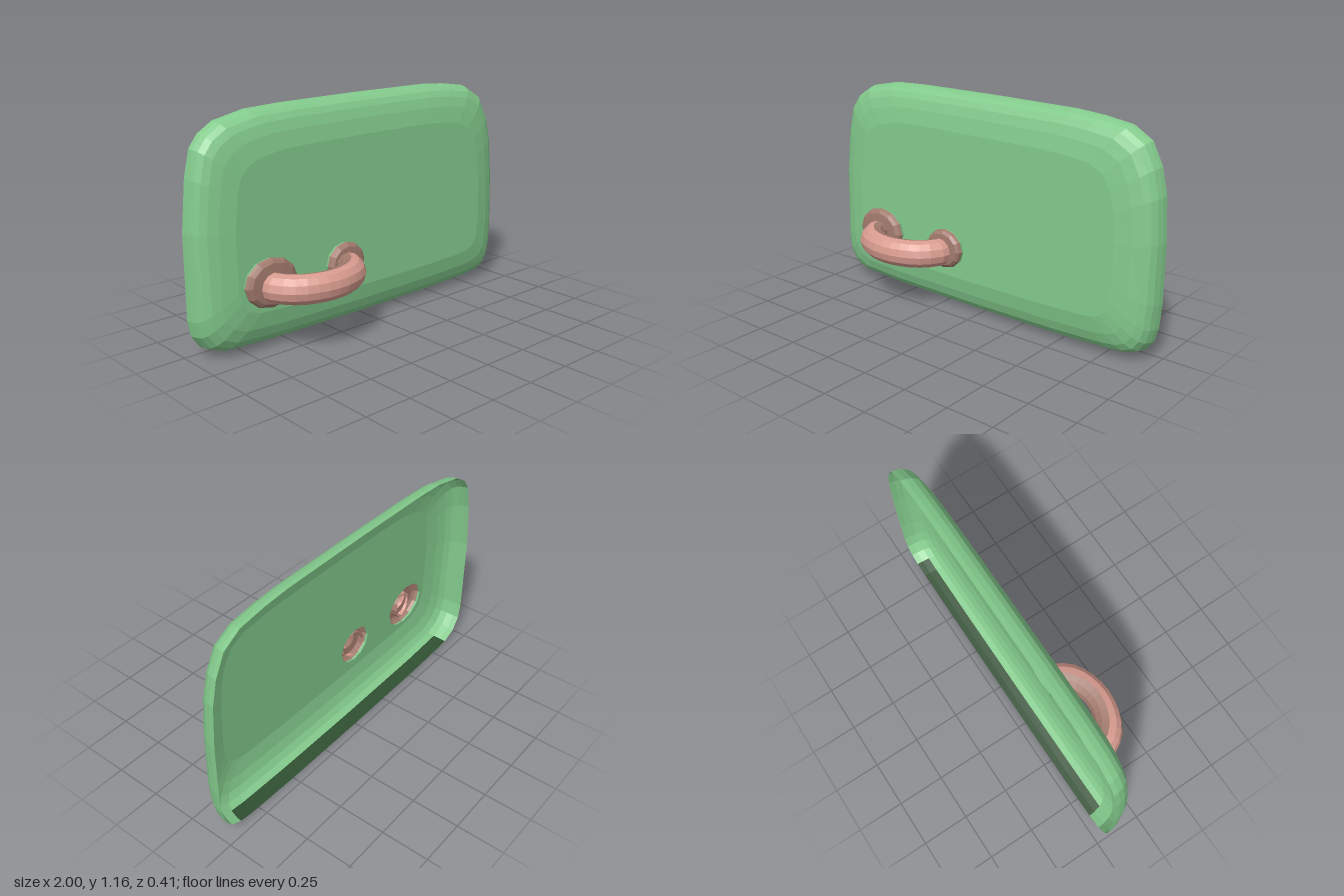
import * as THREE from 'three';

function makeMaterial(name, color) {
  const m = new THREE.MeshStandardMaterial({ color, flatShading: true, side: THREE.DoubleSide });
  m.name = name;
  return m;
}
const green = makeMaterial('panel green', 0x83ca8c);
const darkGreen = makeMaterial('underside dark green', 0x2f4f30);
const pink = makeMaterial('handle pink', 0xd99c90);
const brown = makeMaterial('foot brown', 0xa27a6d);

const MID = 0.578; // half the panel height
const HANDLE_Y = 0.33;
const LEAN = 0.03; // the front face leans back slightly towards the top
const FOOT_SIDES = 12;

// Rounded panel outline, counterclockwise seen from the front
const outline = [
  [0, 0], [0.5, 0.004], [0.8, 0.015], [0.88, 0.026], [0.935, 0.05], [0.972, 0.1], [0.99, 0.17], [1, 0.3],
  [1, 0.6], [0.985, 0.82], [0.955, 0.95], [0.9, 1.06], [0.8, 1.12], [0.65, 1.142], [0.5, 1.153], [0, 1.156],
  [-0.45, 1.153], [-0.65, 1.145], [-0.82, 1.11], [-0.9, 1.06], [-0.945, 1], [-0.975, 0.87],
  [-1, 0.62], [-1, 0.2], [-0.985, 0.12], [-0.94, 0.055], [-0.86, 0.02], [-0.6, 0.006],
];

const faceZ = (y) => -0.05 - LEAN * (y - 0.2);

function inset([x, y], d) {
  return [x * (1 - d), MID + (y - MID) * (1 - d / MID)];
}

// Feet of the handle: centre and radii
const feet = [
  { name: 'outerFoot', x: -0.64, y: 0.345, rx: 0.15, ry: 0.123 },
  { name: 'innerFoot', x: -0.185, y: 0.343, rx: 0.115, ry: 0.105 },
];

// Curved border of the panel, from the open back rim to the front face;
// the rear part of its underside is dark
function borderGeometry() {
  const profile = [[0, 1], [0.003, 0.8], [0.012, 0.56], [0.03, 0.36], [0.06, 0.22], [0.11, 0.1], [0.19, 0]];
  const g = new THREE.BufferGeometry();
  const positions = [], indices = [], n = outline.length;
  for (const [d, back] of profile) {
    for (const p of outline) {
      const [x, y] = inset(p, d);
      positions.push(x, y, THREE.MathUtils.lerp(faceZ(y), -0.205, back));
    }
  }
  for (let i = 0; i < profile.length - 1; i++) {
    for (let j = 0; j < n; j++) {
      const k = (j + 1) % n;
      const a = i * n + j, b = i * n + k, c = b + n, d = a + n;
      const underside = i < 2 && Math.max(outline[j][1], outline[k][1]) < 0.03;
      g.addGroup(indices.length, 6, underside ? 1 : 0);
      indices.push(a, b, c, a, c, d);
    }
  }
  g.setAttribute('position', new THREE.Float32BufferAttribute(positions, 3));
  g.setIndex(indices);
  g.computeVertexNormals();
  return g;
}

// Flat front sheet with an opening behind each foot
function faceGeometry() {
  const shape = new THREE.Shape(outline.map((p) => new THREE.Vector2(...inset(p, 0.19))));
  for (const f of feet) {
    const hole = new THREE.Path();
    hole.absellipse(f.x, f.y, f.rx * 0.97, f.ry * 0.97, 0, Math.PI * 2, true);
    shape.holes.push(hole);
  }
  const g = new THREE.ShapeGeometry(shape, FOOT_SIDES / 2);
  const p = g.attributes.position;
  for (let i = 0; i < p.count; i++) p.setZ(i, faceZ(p.getY(i)));
  g.computeVertexNormals();
  return g;
}

// Hollow bow: pink on the outside of the bend, brown on the inside
function bowGeometry() {
  const path = new THREE.CatmullRomCurve3([
    [-0.645, -0.035], [-0.635, 0.02], [-0.575, 0.09], [-0.49, 0.13], [-0.42, 0.14],
    [-0.35, 0.13], [-0.265, 0.09], [-0.205, 0.02], [-0.195, -0.035],
  ].map(([x, z]) => new THREE.Vector3(x, 0, z)));
  const along = 14, around = 12;
  const g = new THREE.TubeGeometry(path, along, 0.073, around, false);
  const p = g.attributes.position, index = g.index;
  for (let q = 0; q < index.count; q += 6) {
    const step = Math.floor(q / 6 / around) + 0.5;
    const centre = path.getPointAt(step / along), tangent = path.getTangentAt(step / along);
    // Opposite corners of the face give its middle
    const a = index.getX(q), c = index.getX(q + 4);
    const dx = (p.getX(a) + p.getX(c)) / 2 - centre.x;
    const dz = (p.getZ(a) + p.getZ(c)) / 2 - centre.z;
    const outward = dz * tangent.x - dx * tangent.z;
    g.addGroup(q, 6, outward > -0.005 ? 0 : 1);
  }
  // Slightly thinner at the middle
  for (let i = 0; i < p.count; i++) {
    const z = p.getZ(i);
    if (z > 0.14) p.setZ(i, 0.14 + (z - 0.14) * 0.87);
  }
  g.computeVertexNormals();
  return g;
}

function addMesh(parent, name, geometry, material) {
  const mesh = new THREE.Mesh(geometry, material);
  mesh.name = name;
  parent.add(mesh);
  return mesh;
}

function lathe(points) {
  return new THREE.LatheGeometry(points.map(([r, h]) => new THREE.Vector2(r, h)), FOOT_SIDES);
}

export function createModel() {
  const model = new THREE.Group();
  model.name = 'panelWithHandle';

  // Hollow panel
  const panel = new THREE.Group();
  panel.name = 'panel';
  addMesh(panel, 'panelBorder', borderGeometry(), [green, darkGreen]);
  addMesh(panel, 'panelFace', faceGeometry(), green);
  model.add(panel);

  // Handle bow
  const handle = new THREE.Group();
  handle.name = 'handle';
  addMesh(handle, 'handleBow', bowGeometry(), [pink, brown]).position.y = HANDLE_Y;

  // Rounded hollow feet, each rising from a green collar on the panel
  for (const f of feet) {
    const foot = new THREE.Group();
    foot.name = f.name;
    addMesh(foot, 'collar', lathe([[0.97, 0], [1, 0.014]]), green);
    addMesh(foot, 'footCap', lathe([[1, 0.014], [0.95, 0.03], [0.82, 0.042], [0.42, 0.046]]), brown);
    foot.scale.set(f.rx, 1, f.ry);
    foot.rotation.x = Math.PI / 2 - LEAN;
    foot.position.set(f.x, f.y, faceZ(f.y));
    handle.add(foot);
  }
  model.add(handle);

  return model;
}
